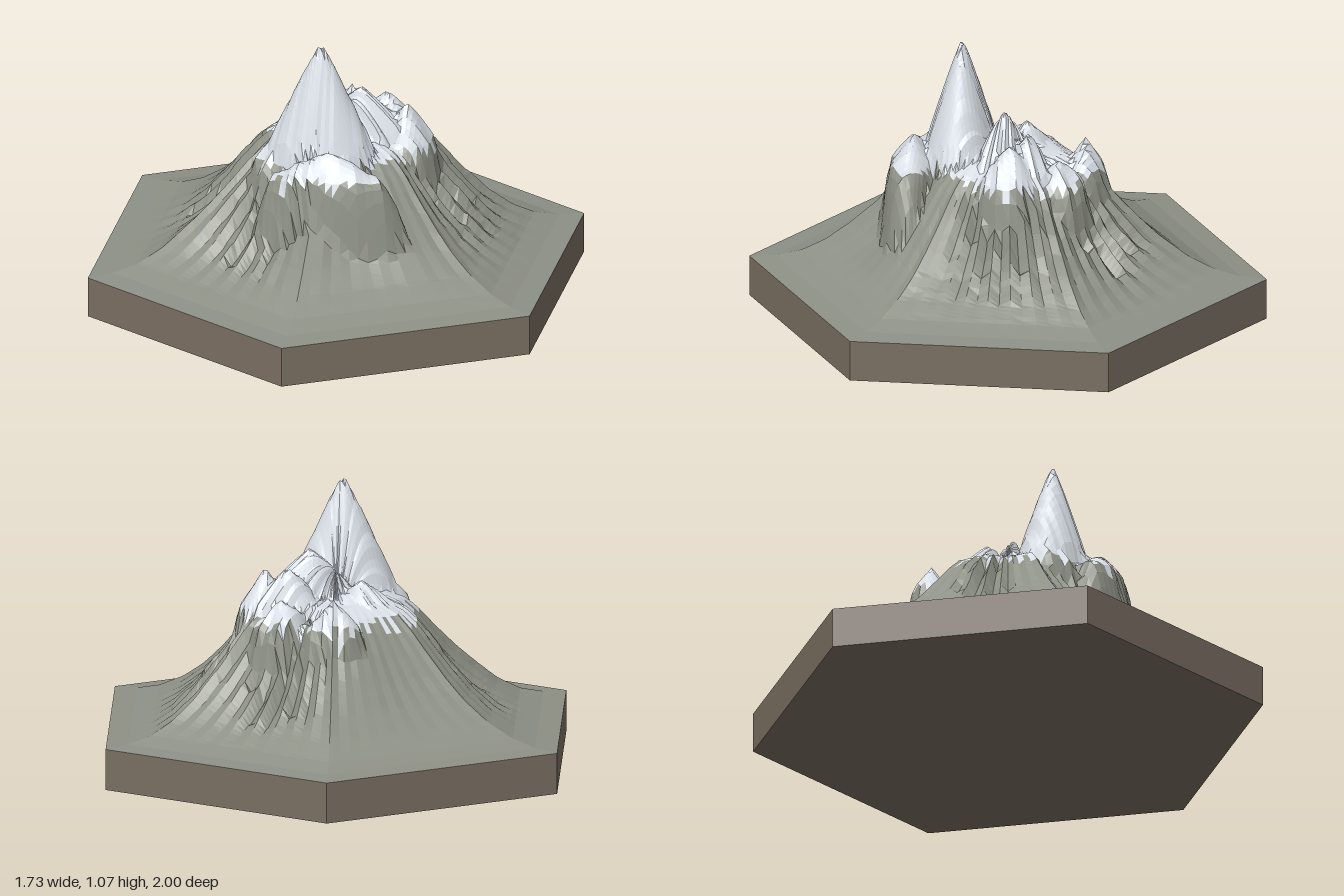
import * as THREE from 'three';

const SIDE = 16, SEGS = SIDE * 6, RINGS = 50, BASE = 0.16, SNOWLINE = 0.605;

const rock = new THREE.MeshStandardMaterial({ color: 0x8e9186 });
rock.name = 'rock';
const snow = new THREE.MeshStandardMaterial({ color: 0xd9dfe6 });
snow.name = 'snow';
const earth = new THREE.MeshStandardMaterial({ color: 0x7a6f62 });
earth.name = 'earth';

// Slope of the mountain body: [distance from centre, height]
const SLOPE = [[0, 0.66], [0.22, 0.645], [0.3, 0.615], [0.36, 0.565], [0.45, 0.465], [0.52, 0.39],
  [0.6, 0.315], [0.7, 0.242], [0.8, 0.193], [0.9, 0.168], [1, BASE]];

// Summits: x, z, height, drop, x radius, z radius
const PEAKS = [
  [-0.02, 0.18, 1.085, 0.4, 0.19, 0.13],
  [0.05, 0.36, 0.71, 0.1, 0.2, 0.08],
  [0.1, 0.0, 0.84, 0.17, 0.16, 0.09],
  [0.27, -0.04, 0.77, 0.15, 0.1, 0.11],
  [0.18, -0.1, 0.785, 0.15, 0.14, 0.09],
  [-0.1, -0.06, 0.73, 0.12, 0.13, 0.12],
  [0.2, -0.22, 0.69, 0.1, 0.1, 0.09],
  [0.0, -0.3, 0.71, 0.12, 0.1, 0.07],
  [-0.18, 0.2, 0.7, 0.12, 0.09, 0.1],
];

// Jagged sectors: position around the hexagon (0 to 6), width, strength
const JAGGED = [[1.6, 0.4, 0.9], [2.5, 0.35, 1.1], [4.5, 0.22, 0.9], [5.45, 0.3, 1.1]];

const hash = (a, b = 0) => {
  const s = Math.sin(a * 127.1 + b * 311.7 + 4.3) * 43758.5453;
  return s - Math.floor(s);
};

// Smooth noise that wraps round the mountain
function ringNoise(u, count, seed) {
  const t = (u / 6) * count, i = Math.floor(t), f = t - i, s = f * f * (3 - 2 * f);
  return THREE.MathUtils.lerp(hash(i % count, seed), hash((i + 1) % count, seed), s) - 0.5;
}

function slopeHeight(d) {
  const t = THREE.MathUtils.clamp(d, 0, 1);
  let k = 1;
  while (SLOPE[k][0] < t) k++;
  const [d0, h0] = SLOPE[k - 1], [d1, h1] = SLOPE[k];
  return THREE.MathUtils.lerp(h0, h1, (t - d0) / (d1 - d0));
}

const corner = k => {
  const a = (k * Math.PI) / 3;
  return new THREE.Vector2(Math.sin(a), Math.cos(a));
};

// One terrain point on a hexagonal ring
function terrainPoint(i, j) {
  const col = j % SEGS, d = i / RINGS, u = col / SIDE, k = Math.floor(u);
  const p = corner(k).lerp(corner(k + 1), u - k).multiplyScalar(d);

  let jag = 0.08;
  for (const [c, w, s] of JAGGED) jag += s * Math.exp(-(((u - c) / w) ** 2));

  // Gullies and teeth fade out at the centre and at the rim
  const fade = THREE.MathUtils.smoothstep(d, 0.12, 0.32) * (1 - THREE.MathUtils.smoothstep(d, 0.5, 0.9));
  const tooth = (col % 2 ? 1 : -0.6) * (0.2 + hash(col, 7 + Math.floor(i / 3)));
  const gully = ringNoise(u, 18, 3) * 0.06 + ringNoise((u + d * 1.5) % 6, 12, 5) * 0.05;
  const gentle = 0.035 * Math.exp(-(((u - 3.8) / 0.6) ** 2));
  let y = slopeHeight(d + fade * (0.01 + gentle + gully + tooth * jag * 0.035));

  // Summits rise out of the body with crumbled faces, and plunge beyond their radius
  PEAKS.forEach(([x, z, h, drop, rx, rz], n) => {
    const q = Math.hypot((p.x - x) / rx, (p.y - z) / rz);
    const rough = Math.min(q, 1) * (hash(col, n + 20) - 0.5) * (n < 2 ? 0.025 : 0.05);
    y = Math.max(y, h - drop * (Math.pow(q, 1.1) + 8 * Math.max(0, q - 1) ** 2) + rough);
  });
  return [p.x, i === RINGS ? BASE : Math.max(y, BASE), p.y];
}

// Snow lies level in front and runs down in tongues elsewhere
function snowLine(j) {
  return j > SIDE && j % 2 ? SNOWLINE - 0.06 * hash(j, 9) : SNOWLINE;
}

function facetedMesh(name, positions, material) {
  const geo = new THREE.BufferGeometry();
  geo.setAttribute('position', new THREE.Float32BufferAttribute(positions, 3));
  geo.computeVertexNormals();
  const mesh = new THREE.Mesh(geo, material);
  mesh.name = name;
  return mesh;
}

export function createModel() {
  const group = new THREE.Group();
  group.name = 'mountain';

  // Height grid, then faces sorted into snow and rock by height
  const grid = [];
  for (let i = 0; i <= RINGS; i++) {
    grid.push([]);
    for (let j = 0; j <= SEGS; j++) grid[i].push(terrainPoint(i, j));
  }
  const snowFaces = [], rockFaces = [];
  for (let i = 0; i < RINGS; i++) {
    for (let j = 0; j < SEGS; j++) {
      const a = grid[i][j], b = grid[i + 1][j], c = grid[i + 1][j + 1], e = grid[i][j + 1];
      const mean = (a[1] + b[1] + c[1] + e[1]) / 4;
      const faces = mean > snowLine(j) ? snowFaces : rockFaces;
      faces.push(...a, ...b, ...c);
      if (i > 0) faces.push(...a, ...c, ...e);
    }
  }
  group.add(facetedMesh('snowCap', snowFaces, snow), facetedMesh('rockSlopes', rockFaces, rock));

  // Hexagonal plinth: side wall and underside
  const wall = new THREE.CylinderGeometry(1, 1, BASE, 6, 1, true).toNonIndexed();
  wall.computeVertexNormals();
  const plinth = new THREE.Mesh(wall, earth);
  plinth.name = 'plinthWall';
  plinth.position.y = BASE / 2;

  const underside = new THREE.Mesh(new THREE.CircleGeometry(1, 6, Math.PI / 2), earth);
  underside.name = 'plinthUnderside';
  underside.rotation.x = Math.PI / 2;
  group.add(plinth, underside);

  return group;
}
